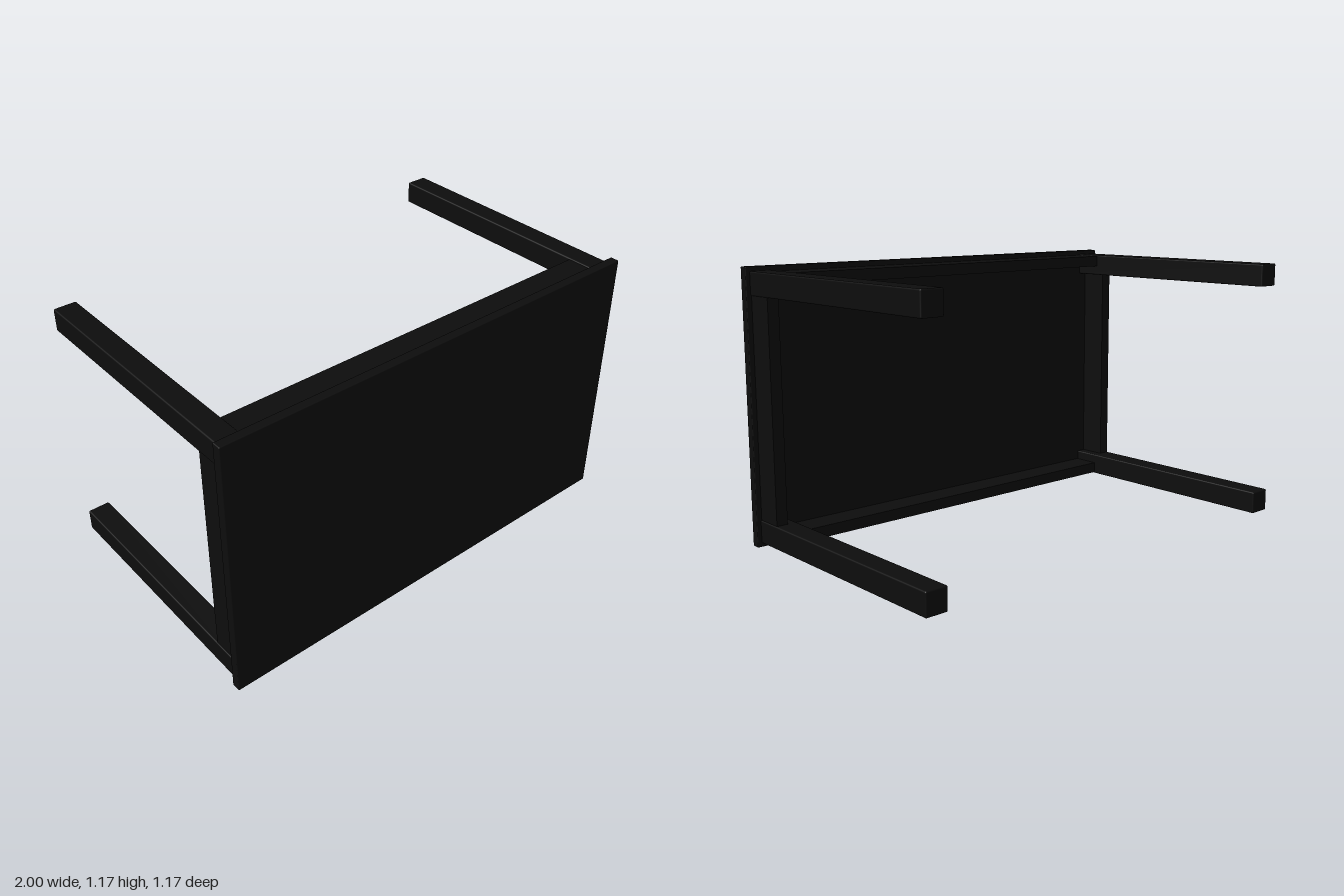
import * as THREE from 'three';
import { RoundedBoxGeometry } from 'three/addons/geometries/RoundedBoxGeometry.js';

// A table resting on its long edge: the top faces +z, the legs point to -z.
export function createModel() {
  const group = new THREE.Group();
  const material = new THREE.MeshStandardMaterial({ color: 0x0d0d0d });
  const midY = 0.583;

  function addPart(name, geometry, x, y, z) {
    const mesh = new THREE.Mesh(geometry, material);
    mesh.name = name;
    mesh.position.set(x, y, z);
    group.add(mesh);
  }

  // Table top
  addPart('tableTop', new RoundedBoxGeometry(2, 1.166, 0.04, 2, 0.004), 0, midY, 0.563);

  // Four square legs with slightly eased edges
  const leg = new RoundedBoxGeometry(0.098, 0.098, 1.128, 2, 0.006);
  for (const sx of [-1, 1]) {
    for (const sy of [-1, 1]) {
      addPart('leg', leg, sx * 0.934, midY + sy * 0.516, -0.019);
    }
  }

  // Apron boards running between the legs, just inside their outer faces
  const longApron = new THREE.BoxGeometry(1.772, 0.05, 0.125);
  const shortApron = new THREE.BoxGeometry(0.05, 0.936, 0.125);
  for (const s of [-1, 1]) {
    addPart('longApron', longApron, 0, midY + s * 0.535, 0.4815);
    addPart('shortApron', shortApron, s * 0.953, midY, 0.4815);
  }

  return group;
}
